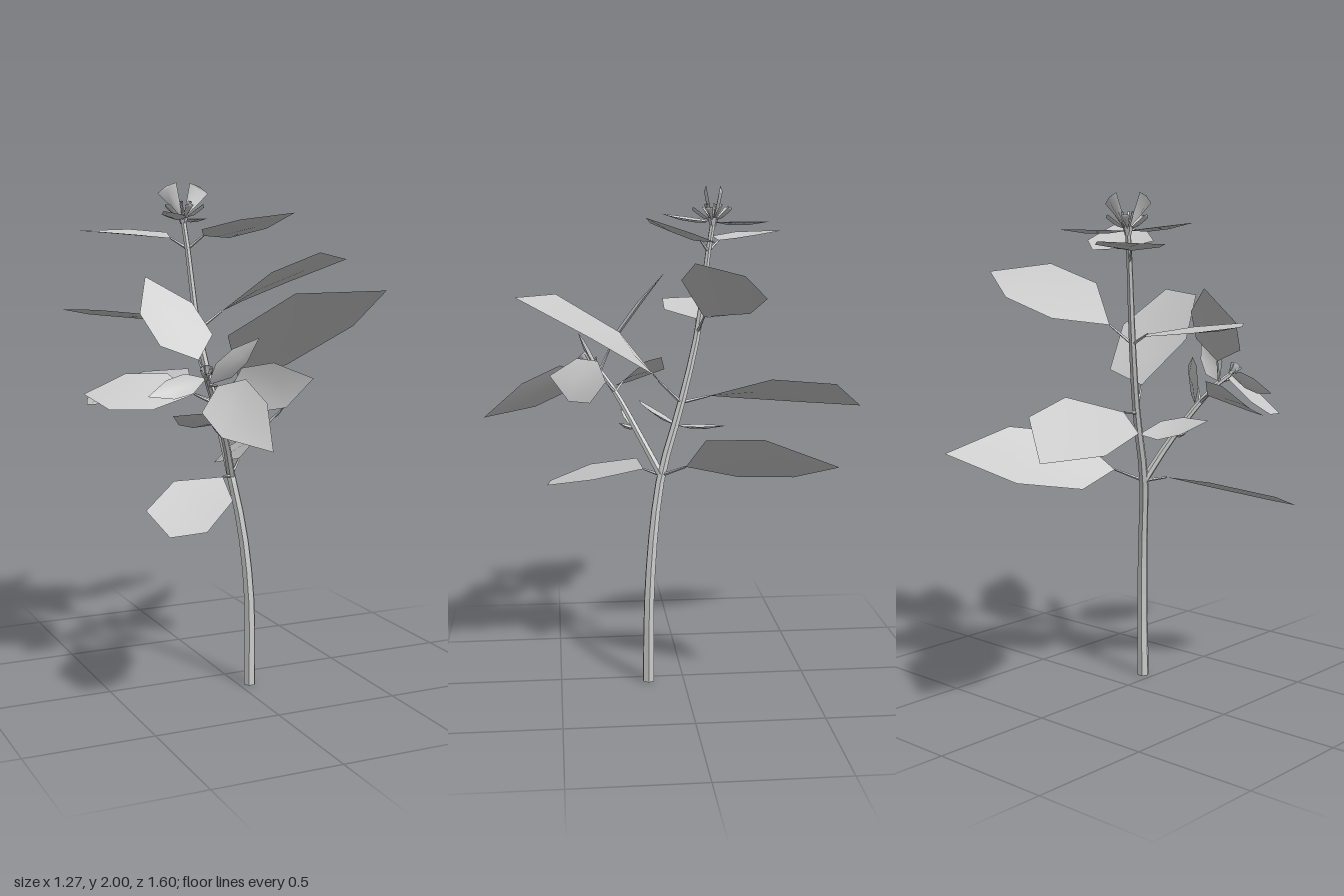
import * as THREE from 'three';

const V = (x, y, z) => new THREE.Vector3(x, y, z);
const smooth = new THREE.MeshStandardMaterial({ color: 0xcccccc, side: THREE.DoubleSide });
const faceted = new THREE.MeshStandardMaterial({ color: 0xcccccc, flatShading: true, side: THREE.DoubleSide });

// Tapering stalk along a smooth curve
function stalk(name, points, r0, r1, sides = 6, steps = 12) {
  const curve = new THREE.CatmullRomCurve3(points);
  const geo = new THREE.TubeGeometry(curve, steps, 1, sides);
  const pos = geo.attributes.position, v = V(0, 0, 0);
  for (let i = 0; i < pos.count; i++) {
    const t = Math.floor(i / (sides + 1)) / steps;
    const c = curve.getPointAt(t);
    v.fromBufferAttribute(pos, i).sub(c).multiplyScalar(THREE.MathUtils.lerp(r0, r1, t)).add(c);
    pos.setXYZ(i, v.x, v.y, v.z);
  }
  const mesh = new THREE.Mesh(geo, faceted);
  mesh.name = name;
  return mesh;
}

// Blade: base, tip and two edge points per side, with a shallow trough at the midrib
function blade(name, base, tip, l1, l2, r1, r2) {
  const sag = l1.clone().sub(r2).cross(l2.clone().sub(r1)).normalize().multiplyScalar(0.013);
  if (sag.y > 0) sag.negate();
  const mid = (p, q) => p.clone().lerp(q, 0.5).add(sag);
  const geo = new THREE.BufferGeometry().setFromPoints([base, l1, mid(l1, r1), r1, l2, mid(l2, r2), r2, tip]);
  geo.setIndex([0, 2, 1, 0, 3, 2, 1, 2, 5, 1, 5, 4, 2, 3, 6, 2, 6, 5, 4, 5, 7, 5, 6, 7]);
  geo.computeVertexNormals();
  const mesh = new THREE.Mesh(geo, smooth);
  mesh.name = name;
  return mesh;
}

// Leaf on a thin stalk from a joint, given its tip and the middle of each long edge;
// a longer edge makes it blunter
function leaf(name, joint, tip, left, right, halfEdge = 0.19) {
  const g = new THREE.Group();
  g.name = name;
  const base = joint.clone().lerp(tip, 0.15).add(V(0, 0.03, 0));
  const run = tip.clone().sub(base).multiplyScalar(halfEdge);
  const before = (p) => p.clone().sub(run), after = (p) => p.clone().add(run);
  g.add(blade('leafBlade', base, tip, before(left), after(left), before(right), after(right)));
  g.add(stalk('leafStalk', [joint, base], 0.007, 0.004, 4, 2));
  return g;
}

// Slim pointed blade, tilted about its length by roll
function bract(name, base, tip, width, roll = 0) {
  const dir = tip.clone().sub(base).normalize();
  const side = dir.clone().cross(V(0, 1, 0)).setLength(width).applyAxisAngle(dir, roll);
  const at = (f, s) => base.clone().lerp(tip, f).addScaledVector(side, s);
  return blade(name, base, tip, at(0.3, 0.85), at(0.62, 0.8), at(0.3, -0.85), at(0.62, -0.8));
}

// Wedge petal opening outward from the flower's foot, twisted about its own length
function petal(angle, spread, height, width, twist = 0) {
  const dir = V(spread, height, 0);
  const side = V(0, 0, width).applyAxisAngle(dir.clone().normalize(), twist);
  const at = (f, s) => dir.clone().multiplyScalar(f).addScaledVector(side, s);
  const p = blade('petal', at(0.08, 0), at(1, 0), at(0.45, 0.4), at(0.95, 0.85), at(0.45, -0.4), at(0.95, -0.85));
  p.rotation.y = angle;
  return p;
}

function flower(name, foot, axis, size, open) {
  const g = new THREE.Group();
  g.name = name;
  // Two tall fanned petals when open, then a ring of small petals and stamens
  if (open) for (const a of [0.2, Math.PI + 0.2]) g.add(petal(a, 0.08, 0.128, 0.05, 1.2));
  for (let i = 0; i < 5; i++) {
    const a = i * Math.PI * 0.4 + 0.9;
    g.add(open ? petal(a, 0.08, 0.06, 0.02) : petal(a, 0.035, 0.08, 0.03));
    const end = V(0.035 * Math.cos(a), 0.07, 0.035 * Math.sin(a));
    g.add(stalk('stamen', [V(0, 0, 0), end], 0.004, 0.006, 4, 1));
  }
  const calyx = new THREE.Mesh(new THREE.CylinderGeometry(0.022, 0.012, 0.035, 6), faceted);
  calyx.name = 'calyx';
  g.add(calyx);
  g.position.copy(foot);
  g.quaternion.setFromUnitVectors(V(0, 1, 0), axis.normalize());
  g.scale.setScalar(size);
  return g;
}

export function createModel() {
  const plant = new THREE.Group();
  plant.name = 'floweringPlant';

  // Joints where leaves, branch and flowers start
  const low = V(-0.01, 0.85, 0.085), middle = V(-0.045, 1.14, 0), high = V(-0.085, 1.42, -0.07);
  const top = V(-0.11, 1.74, -0.115), crown = V(-0.12, 1.855, -0.135);
  const branchMid = V(-0.16, 1.17, 0.26), branchHigh = V(-0.21, 1.25, 0.32), branchEnd = V(-0.235, 1.28, 0.36);

  // Main stem and side branch
  const foot = V(0.045, 0, 0.145);
  plant.add(stalk('mainStem', [foot, V(0.045, 0.35, 0.14), V(0.025, 0.62, 0.12), low, middle, high, top, crown], 0.025, 0.011, 6, 16));
  plant.add(stalk('sideBranch', [low, V(-0.07, 1, 0.165), branchMid, branchHigh, branchEnd], 0.017, 0.01, 6, 8));
  const cap = new THREE.Mesh(new THREE.CircleGeometry(0.024, 6).rotateX(Math.PI / 2), faceted);
  cap.name = 'stemBase';
  cap.position.copy(foot);
  plant.add(cap);

  // Opposite leaf pairs up the main stem
  plant.add(
    leaf('lowerLeftLeaf', low, V(0.505, 0.98, -0.53), V(0.13, 0.865, -0.315), V(0.33, 1.055, -0.165)),
    leaf('lowerRightLeaf', low, V(-0.45, 0.74, 0.53), V(-0.38, 0.835, 0.26), V(-0.22, 0.78, 0.45), 0.25),
    leaf('middleBackLeaf', middle, V(-0.315, 1.07, -0.8), V(-0.055, 1.215, -0.505), V(-0.345, 1.095, -0.415), 0.21),
    leaf('middleFrontLeaf', middle, V(0.35, 1.6, 0.645), V(-0.02, 1.505, 0.37), V(0.29, 1.37, 0.25), 0.23),
    leaf('upperLeftLeaf', high, V(0.635, 1.69, -0.155), V(0.3, 1.555, -0.256), V(0.31, 1.685, 0.01)),
    leaf('upperRightLeaf', high, V(-0.64, 1.515, -0.1), V(-0.39, 1.48, -0.22), V(-0.42, 1.505, 0.04), 0.26),
    leaf('topBackLeaf', top, V(-0.455, 1.81, -0.437), V(-0.18, 1.81, -0.375), V(-0.355, 1.8, -0.21), 0.21),
    leaf('topFrontLeaf', top, V(0.225, 1.88, 0.16), V(0.135, 1.8, -0.075), V(-0.05, 1.835, 0.075), 0.21),
  );

  // Leaf pairs on the side branch
  plant.add(
    leaf('branchRightLeaf', branchMid, V(-0.595, 1.2, 0.02), V(-0.365, 1.275, 0.085), V(-0.475, 1.157, 0.21)),
    leaf('branchLeftLeaf', branchMid, V(0.12, 1.28, 0.525), V(-0.035, 1.32, 0.375), V(0, 1.155, 0.41)),
    leaf('branchBackLeaf', branchHigh, V(-0.35, 1.64, 0.04), V(-0.178, 1.485, 0.19), V(-0.393, 1.45, 0.2)),
    leaf('branchFrontLeaf', branchHigh, V(-0.175, 1.07, 0.795), V(-0.128, 1.25, 0.56), V(-0.28, 1.13, 0.51)),
  );

  // Bracts beneath the flowers and young leaves at the joints
  const shoot = V(-0.035, 1.05, 0.025), branchLow = V(-0.09, 1.03, 0.18);
  plant.add(
    bract('topBract', crown, V(0.06, 1.86, -0.33), 0.05),
    bract('topBract', crown, V(-0.28, 1.885, 0.06), 0.05),
    bract('branchBract', branchEnd, V(-0.457, 1.22, 0.34), 0.05, -1),
    bract('branchBract', branchHigh, V(-0.045, 1.425, 0.41), 0.055, -1),
    bract('youngLeaf', shoot, V(0.11, 1.07, -0.16), 0.04),
    bract('youngLeaf', shoot, V(-0.285, 1.115, 0.155), 0.08, 0.45),
    bract('youngLeaf', branchLow, V(-0.16, 1.1, 0.24), 0.022),
    bract('youngLeaf', branchLow, V(-0.11, 1.05, 0.25), 0.022),
  );

  // Flowers
  plant.add(flower('topFlower', crown, V(0, 1, 0), 1, true));
  plant.add(flower('branchBud', branchEnd, V(-0.15, 0.5, 0.4), 0.6, false));
  return plant;
}
